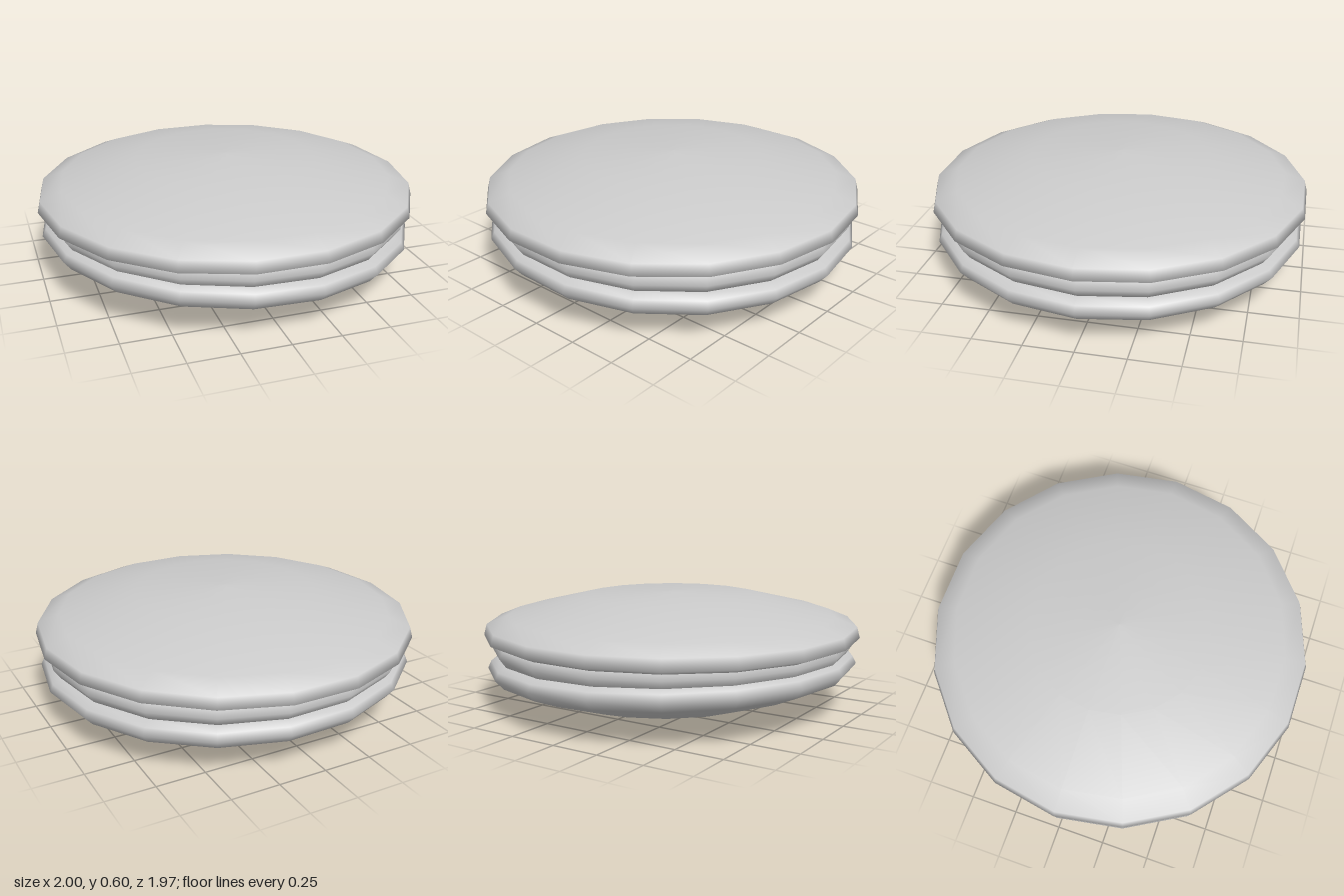
import * as THREE from 'three';

const SIDES = 18;
const material = new THREE.MeshStandardMaterial({ color: 0xcccccc });

// Turn a [radius, height] profile (listed bottom to top) into a named round part.
// Heights are relative to y, so the part tilts about its own middle.
function turned(name, profile, y, tilt = 0) {
  const points = profile.map(([r, h]) => new THREE.Vector2(r, h - y));
  const mesh = new THREE.Mesh(new THREE.LatheGeometry(points, SIDES, Math.PI / 2), material);
  mesh.name = name;
  mesh.position.y = y;
  mesh.rotation.z = tilt;
  return mesh;
}

export function createModel() {
  const group = new THREE.Group();
  group.name = 'sandwichBiscuit';

  // Domed upper biscuit with a rounded rim and flat underside
  group.add(turned('upperShell', [
    [0, 0.355], [0.9, 0.355], [0.945, 0.36], [1, 0.383],
    [0.985, 0.44], [0.875, 0.485], [0.475, 0.58], [0, 0.6],
  ], 0.38));

  // Soft filling bulging between the two biscuits, leaning slightly
  group.add(turned('filling', [
    [0, 0.25], [0.87, 0.25], [0.925, 0.275], [0.96, 0.325],
    [0.935, 0.367], [0.87, 0.375], [0, 0.375],
  ], 0.325, -0.015));

  // Lower biscuit, tipped down towards the left side
  group.add(turned('lowerShell', [
    [0, 0.004], [0.575, 0.044], [0.805, 0.118], [0.945, 0.175],
    [0.986, 0.224], [0.968, 0.262], [0.925, 0.283], [0.87, 0.287], [0, 0.287],
  ], 0.224, -0.027));

  return group;
}
